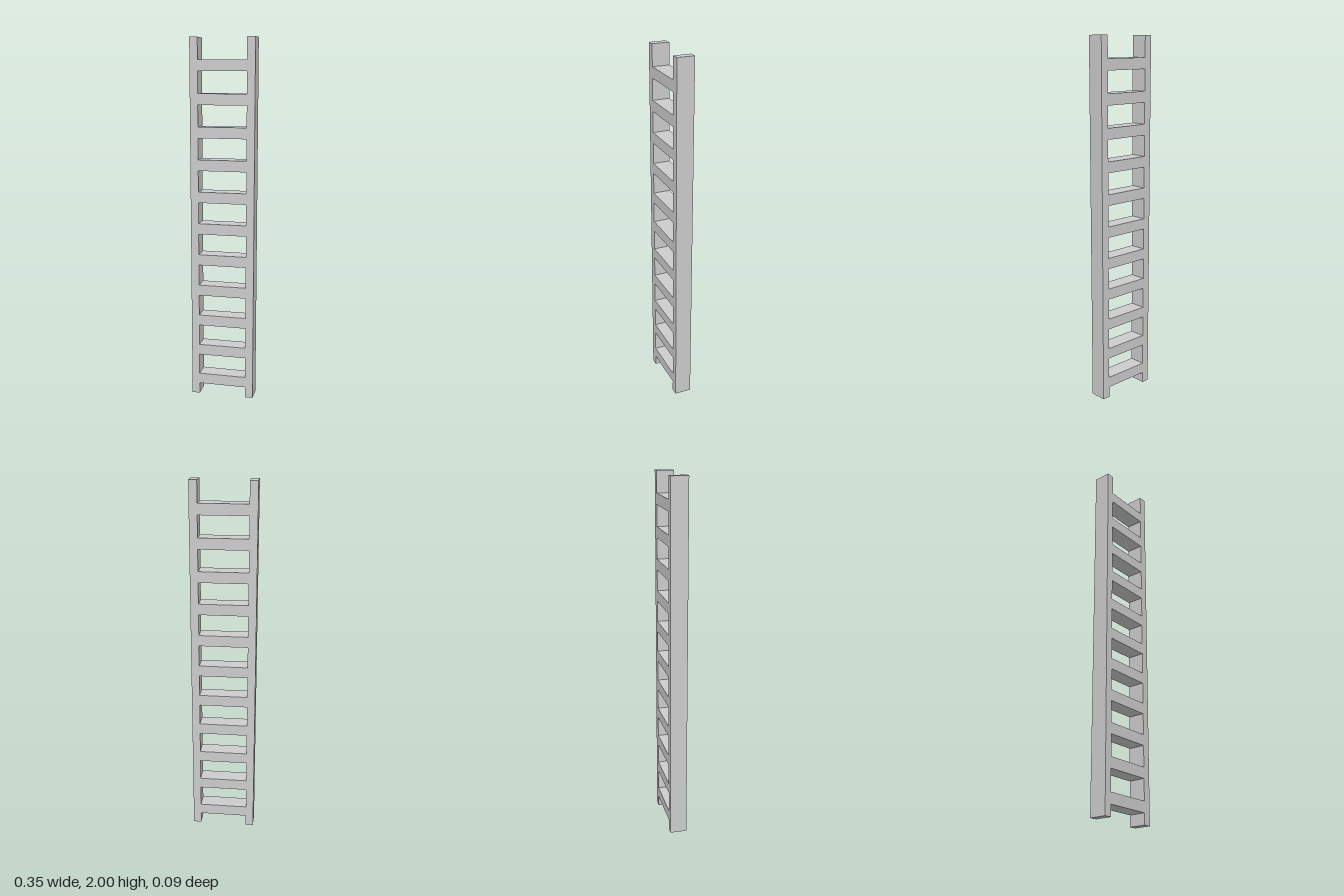
import * as THREE from 'three';

export function createModel() {
  const ladder = new THREE.Group();
  ladder.name = 'ladder';
  const material = new THREE.MeshStandardMaterial({ color: 0xcccccc, flatShading: true });

  const height = 2, depth = 0.094;
  const outerX = 0.1765, innerX = 0.133;
  const rungCount = 11, rungHeight = 0.06, firstRungY = 0.091, rungSpacing = 0.1763;

  const addBox = (name, w, h, x, y) => {
    const mesh = new THREE.Mesh(new THREE.BoxGeometry(w, h, depth), material);
    mesh.name = name;
    mesh.position.set(x, y, 0);
    ladder.add(mesh);
  };

  // Two upright side rails
  for (const [name, side] of [['leftRail', 1], ['rightRail', -1]]) {
    addBox(name, outerX - innerX, height, side * (outerX + innerX) / 2, height / 2);
  }

  // Evenly spaced rungs, flush with the rails front and back
  for (let i = 0; i < rungCount; i++) {
    addBox(`rung${i + 1}`, innerX * 2, rungHeight, 0, firstRungY + i * rungSpacing);
  }

  return ladder;
}
